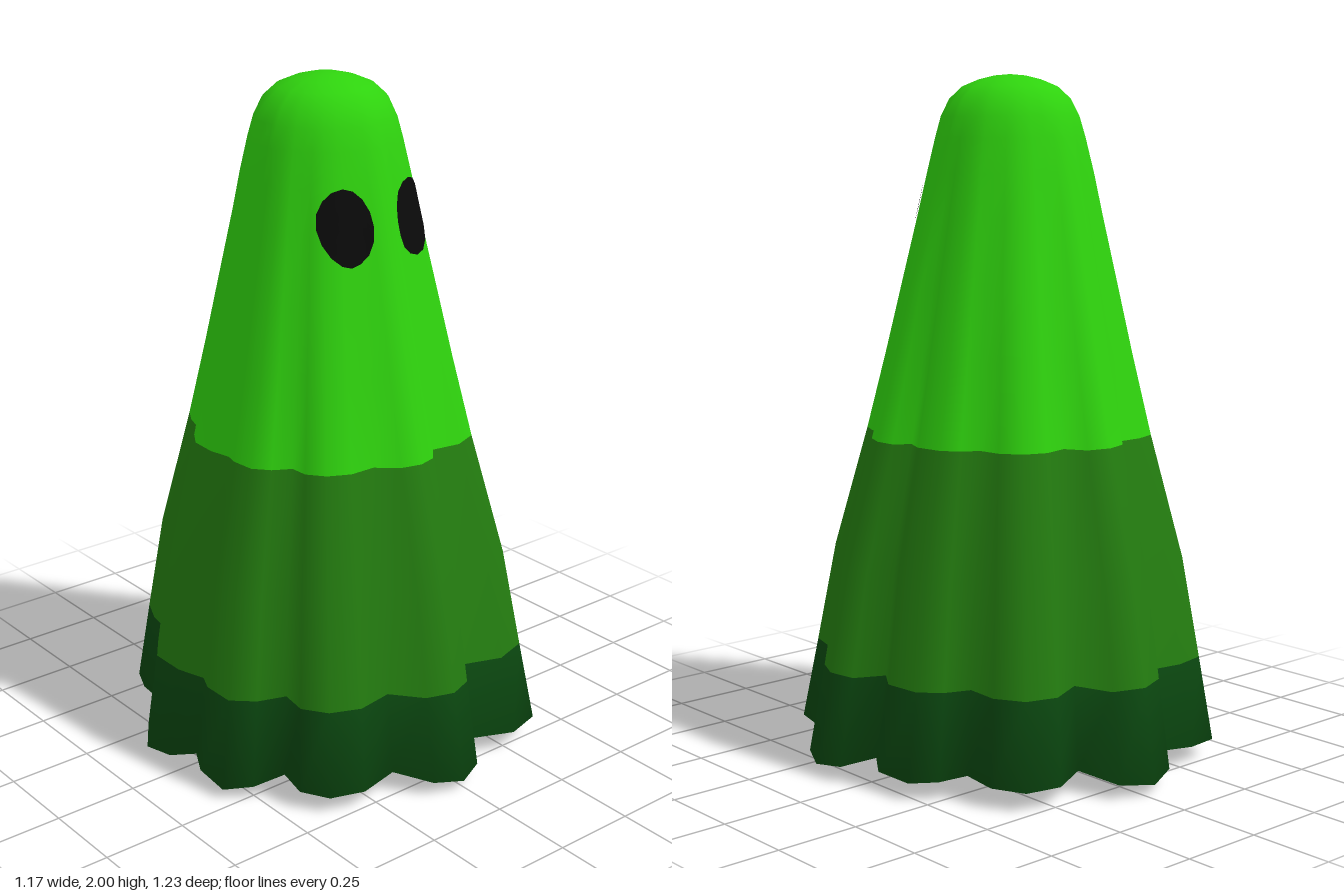
import * as THREE from 'three';
import { mergeVertices } from 'three/addons/utils/BufferGeometryUtils.js';

// Hem outline as x, z pairs: ten lobes, each a valley followed by three points
const HEM = [
  0.12, -0.455, 0.24, -0.51, 0.34, -0.48, 0.39, -0.39,
  0.38, -0.28, 0.46, -0.25, 0.52, -0.19, 0.53, -0.07,
  0.475, 0.01, 0.57, 0.055, 0.585, 0.15, 0.545, 0.235,
  0.375, 0.305, 0.405, 0.40, 0.375, 0.50, 0.26, 0.535,
  0.125, 0.485, 0.07, 0.58, -0.01, 0.61, -0.10, 0.58,
  -0.175, 0.485, -0.295, 0.505, -0.39, 0.465, -0.44, 0.39,
  -0.425, 0.30, -0.515, 0.27, -0.58, 0.21, -0.58, 0.10,
  -0.555, 0.045, -0.585, -0.05, -0.585, -0.17, -0.53, -0.245,
  -0.455, -0.31, -0.44, -0.40, -0.40, -0.49, -0.29, -0.51,
  -0.175, -0.49, -0.125, -0.575, -0.025, -0.615, 0.08, -0.58,
];
const SIDES = HEM.length / 2;
// Height of the lowest point of each lobe
const TIPS = [0.055, 0.05, 0.035, 0.055, 0.03, 0.05, 0.03, 0, 0.05, 0.03];
const VALLEY = 0.063;

// Closed underside, from its middle outwards: height, radius, depth of the folds
const UNDERSIDE = [[0.06, 0, 0], [0.06, 0.25, 0.3], [0.06, 0.48, 0.9]];

// Cloth profile: height, radius, depth of the folds
const PROFILE = [
  [0.3, 0.547, 0.98], [0.6, 0.498, 0.85], [0.96, 0.408, 0.68],
  [1.2, 0.354, 0.55], [1.4, 0.311, 0.44], [1.6, 0.267, 0.33], [1.72, 0.242, 0.24],
  [1.82, 0.218, 0.14], [1.88, 0.201, 0.08], [1.93, 0.176, 0.03], [1.965, 0.138, 0],
  [1.985, 0.09, 0], [1.996, 0.045, 0], [2, 0, 0],
];

// One cross-section of the cloth, blending the hem outline into a circle
function ring([y, radius, folds], heightAt = () => y) {
  const shift = -0.03 * Math.min(y / 1.8, 1);
  return Array.from({ length: SIDES }, (_, i) => {
    const x = HEM[2 * i], z = HEM[2 * i + 1], r = Math.hypot(x, z);
    const k = (radius / 0.59) * THREE.MathUtils.lerp(0.59, r, folds) / r;
    return new THREE.Vector3(x * k + shift, heightAt(i), z * k);
  });
}

function hemHeight(i) {
  const weight = [0, 0.6, 1, 0.6][i % 4];
  return THREE.MathUtils.lerp(VALLEY, TIPS[Math.floor(i / 4)], weight);
}

// Depth of the front of the cloth at a given x and y
function frontZ(x, y) {
  const n = PROFILE.findIndex((p) => p[0] > y);
  const a = PROFILE[n - 1], b = PROFILE[n];
  const t = (y - a[0]) / (b[0] - a[0]);
  const lower = ring(a), upper = ring(b);
  const pts = lower.map((p, i) => p.clone().lerp(upper[i], t));
  let best = 0;
  pts.forEach((p, i) => {
    const q = pts[(i + 1) % SIDES];
    if ((p.x - x) * (q.x - x) > 0 || p.x === q.x) return;
    best = Math.max(best, p.z + (q.z - p.z) * (x - p.x) / (q.x - p.x));
  });
  return best;
}

function clothGeometry() {
  // Underside, then the hem, then up to the crown
  const rows = [
    ...UNDERSIDE.map((p) => ring(p)),
    ring([0, 0.59, 1], hemHeight),
    ...PROFILE.map((p) => ring(p)),
  ];
  const positions = rows.flat().flatMap((p) => p.toArray());
  const index = [];
  for (let j = 0; j < rows.length - 1; j++) {
    for (let i = 0; i < SIDES; i++) {
      const a = j * SIDES + i, b = j * SIDES + (i + 1) % SIDES;
      index.push(b, a, a + SIDES, b, a + SIDES, b + SIDES);
    }
  }
  const geometry = new THREE.BufferGeometry();
  geometry.setAttribute('position', new THREE.Float32BufferAttribute(positions, 3));
  geometry.setIndex(index);

  // Colour bands change at the 0.3 and 0.96 rings
  const perRow = SIDES * 6;
  const darkEnd = (UNDERSIDE.length + 1) * perRow, midEnd = darkEnd + 2 * perRow;
  geometry.addGroup(0, darkEnd, 0);
  geometry.addGroup(darkEnd, midEnd - darkEnd, 1);
  geometry.addGroup(midEnd, index.length - midEnd, 2);
  const merged = mergeVertices(geometry, 1e-5);
  merged.computeVertexNormals();
  return merged;
}

// Thin oval laid over the folds of the face
function eyeGeometry(cx) {
  const geometry = new THREE.RingGeometry(0.001, 1, 16, 5);
  const pos = geometry.attributes.position;
  for (let i = 0; i < pos.count; i++) {
    const x = cx + pos.getX(i) * 0.071, y = 1.62 + pos.getY(i) * 0.106;
    pos.setXYZ(i, x, y, frontZ(x, y) + 0.007);
  }
  geometry.computeVertexNormals();
  return geometry;
}

export function createModel() {
  const paint = (name, color) => {
    const material = new THREE.MeshStandardMaterial({ color });
    material.name = name;
    return material;
  };
  const darkGreen = paint('dark green', 0x0b4810);
  const midGreen = paint('mid green', 0x247d10);
  const brightGreen = paint('bright green', 0x2fd30e);
  const black = paint('black', 0x0a0a0a);

  const model = new THREE.Group();
  model.name = 'ghost';

  const sheet = new THREE.Mesh(clothGeometry(), [darkGreen, midGreen, brightGreen]);
  sheet.name = 'sheet';
  model.add(sheet);

  for (const [name, x] of [['rightEye', -0.145], ['leftEye', 0.085]]) {
    const eye = new THREE.Mesh(eyeGeometry(x), black);
    eye.name = name;
    model.add(eye);
  }
  return model;
}
